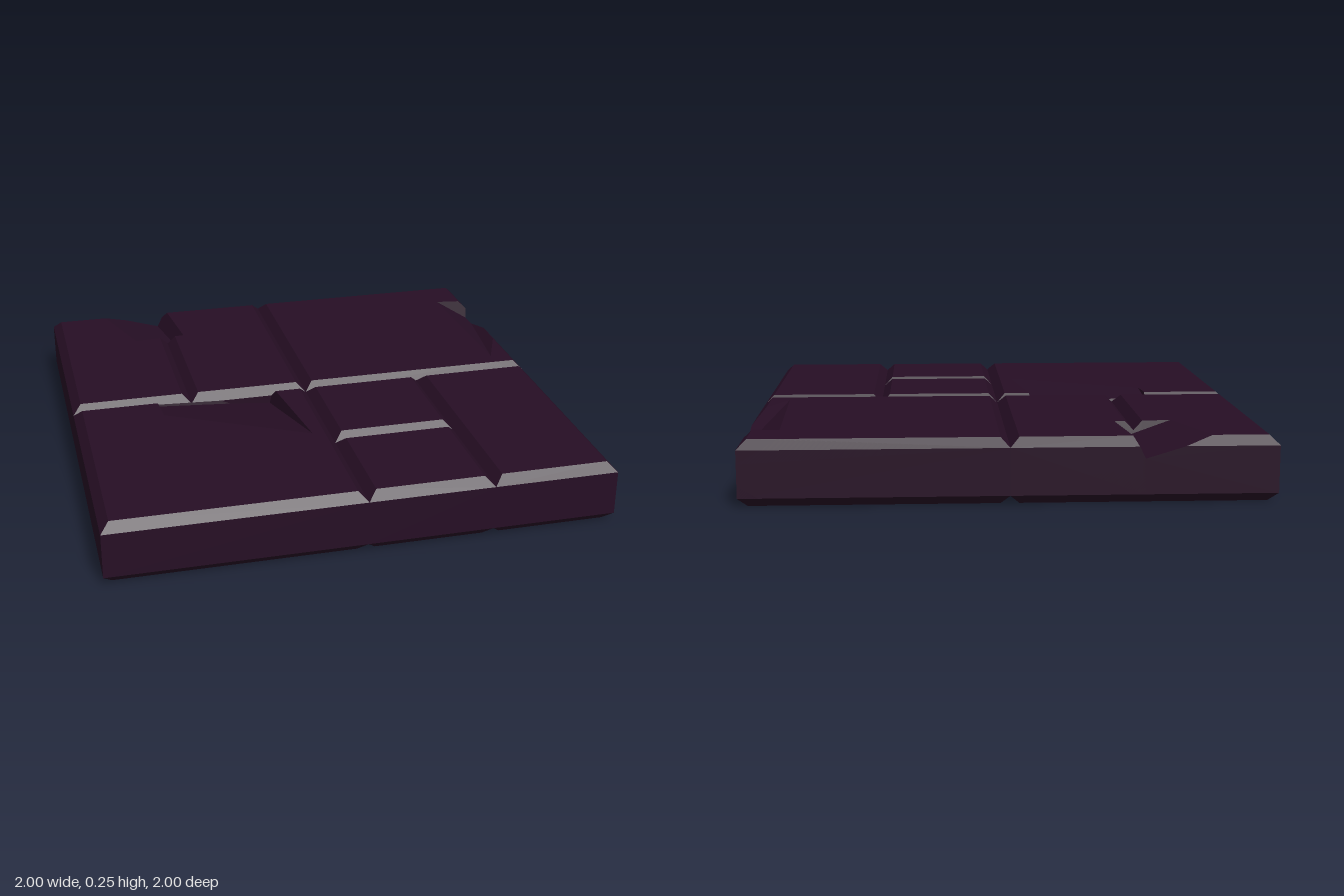
import * as THREE from 'three';
import { ConvexGeometry } from 'three/addons/geometries/ConvexGeometry.js';

const H = 0.25, BEVEL = 0.035;
const V = (x, y, z) => new THREE.Vector3(x, y, z);

// Half-space through a point; the solid lies behind the normal
const side = (normal, point) => new THREE.Plane().setFromNormalAndCoplanarPoint(normal.normalize(), point);

// Cutting plane through three points, keeping what is below it
function cut(a, b, c) {
  const p = new THREE.Plane().setFromCoplanarPoints(V(...a), V(...b), V(...c));
  return p.normal.y < 0 ? p.negate() : p;
}

// Convex solid from half-spaces: its corners are the valid three-plane meetings
function solid(planes) {
  const points = [], n = planes.length;
  for (let i = 0; i < n; i++) for (let j = i + 1; j < n; j++) for (let k = j + 1; k < n; k++) {
    const [a, b, c] = [planes[i], planes[j], planes[k]];
    const bc = b.normal.clone().cross(c.normal);
    const det = a.normal.dot(bc);
    if (Math.abs(det) < 1e-6) continue;
    const p = bc.multiplyScalar(-a.constant)
      .addScaledVector(c.normal.clone().cross(a.normal), -b.constant)
      .addScaledVector(a.normal.clone().cross(b.normal), -c.constant)
      .divideScalar(det);
    if (planes.every(q => q.distanceToPoint(p) < 1e-5) && !points.some(q => q.distanceTo(p) < 1e-4)) points.push(p);
  }
  return new ConvexGeometry(points);
}

// Half-spaces of a slab with bevelled rims; plainSide has no bevel underneath
function slabPlanes([x0, x1, z0, z1], plainSide) {
  const planes = [side(V(0, 1, 0), V(0, H, 0)), side(V(0, -1, 0), V(0, 0, 0))];
  const walls = { left: [-1, 0, x0, 0], right: [1, 0, x1, 0], back: [0, -1, 0, z0], front: [0, 1, 0, z1] };
  for (const [name, [nx, nz, x, z]] of Object.entries(walls)) {
    planes.push(side(V(nx, 0, nz), V(x, 0, z)), side(V(nx, 1, nz), V(x, H - BEVEL, z)));
    if (name !== plainSide) planes.push(side(V(nx, -1, nz), V(x, BEVEL, z)));
  }
  return planes;
}

// Chips: each removes the stone lying above all of its planes
const backChip = [
  cut([-0.5, 0.17, -1], [-0.455, 0.19, -0.67], [-0.65, 0.25, -0.66]),
  cut([-0.46, 0.25, -1], [-0.425, 0.25, -0.67], [-0.5, 0.17, -1]),
  cut([-0.6, 0.25, -0.655], [-0.42, 0.25, -0.67], [-0.5, 0.18, -0.68]),
];
const edgeChip = [
  cut([0.86, 0.25, -0.79], [0.885, 0.25, -0.1], [1, 0.17, -0.67]),
  cut([0.885, 0.25, -0.1], [1, 0.215, -0.5], [1, 0.17, -0.67]),
  cut([0.86, 0.25, -0.79], [1, 0.25, -0.77], [1, 0.18, -0.755]),
];
const centreChip = [
  cut([-0.65, 0.25, 0.15], [-0.09, 0.25, 0.46], [-0.15, 0.18, 0]),
  cut([-0.145, 0.25, 0], [-0.085, 0.25, 0.46], [-0.16, 0.18, 0]),
  cut([-0.65, 0.25, 0.02], [-0.4, 0.25, -0.005], [-0.64, 0.2, 0.03]),
  cut([-0.65, 0.25, 0.02], [-0.64, 0.25, 0.15], [-0.64, 0.2, 0.02]),
];

export function createModel() {
  const group = new THREE.Group();
  group.name = 'pavedFloorTile';
  const stone = new THREE.MeshStandardMaterial({ color: 0x260e24 });
  stone.name = 'darkPurpleStone';

  // Slabs: name, [x0, x1, z0, z1], chip, side joined underneath
  const slabs = [
    ['backOuterSlab', [-1, -0.5, -1, 0], backChip, 'right'],
    ['backInnerSlab', [-0.5, 0, -1, 0], backChip, 'left'],
    ['backLargeSlab', [0, 1, -1, 0], edgeChip],
    ['frontLargeSlab', [-1, 0, 0, 1], centreChip],
    ['smallInnerSlab', [0, 0.5, 0, 0.5], null, 'front'],
    ['smallFrontSlab', [0, 0.5, 0.5, 1], null, 'back'],
    ['frontLongSlab', [0.5, 1, 0, 1]],
  ];
  for (const [name, bounds, chip, plainSide] of slabs) {
    const planes = slabPlanes(bounds, plainSide);
    const slab = new THREE.Group();
    slab.name = name;
    // A chipped slab is the union of its parts below each chip plane
    for (const extra of chip ? chip.map(p => [p]) : [[]]) {
      const mesh = new THREE.Mesh(solid([...planes, ...extra]), stone);
      mesh.name = name + 'Stone';
      slab.add(mesh);
    }
    group.add(slab);
  }
  return group;
}
